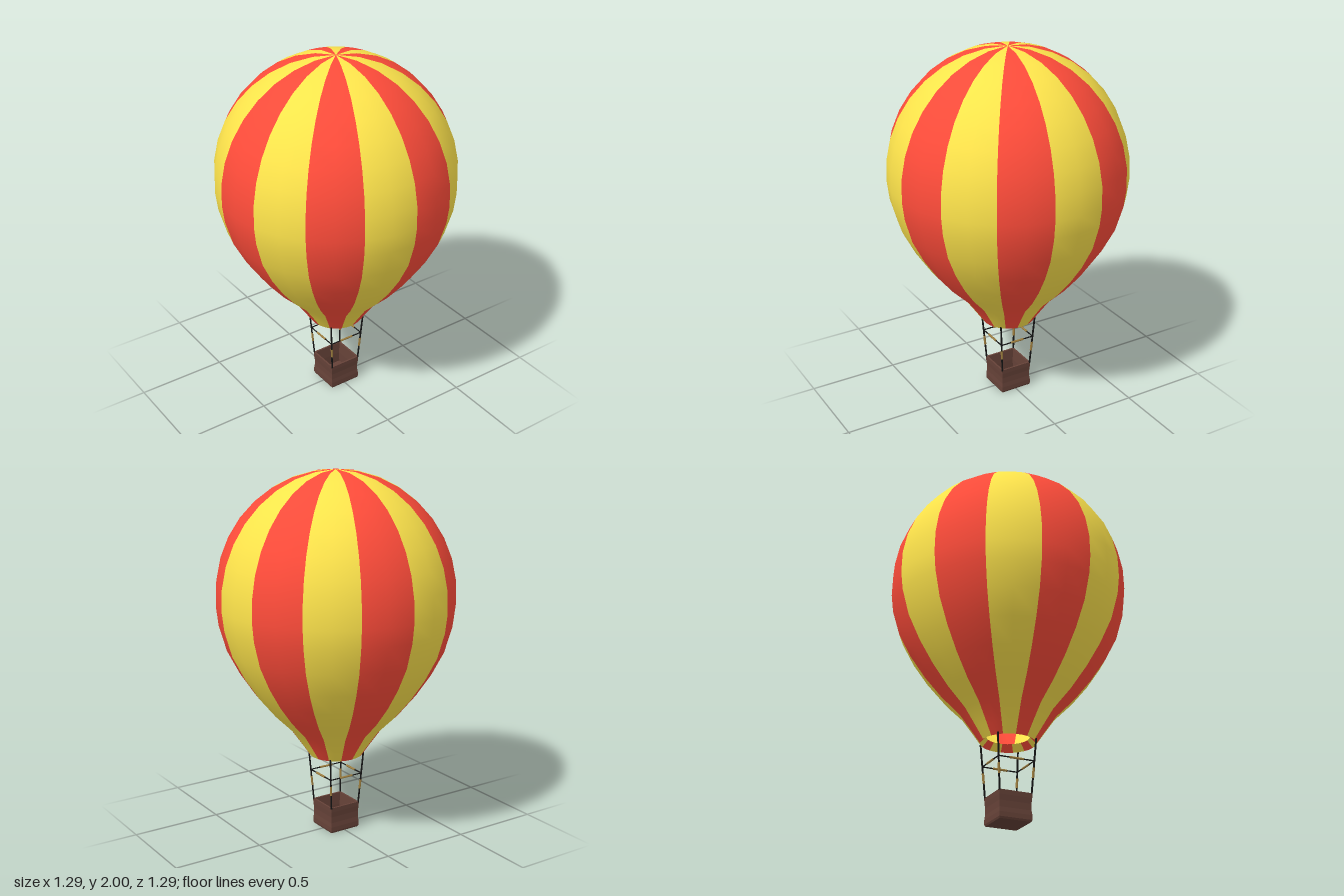
import * as THREE from 'three';
import { mergeGeometries } from 'three/addons/utils/BufferGeometryUtils.js';

const GORES = 14;
const GORE_ANGLE = (Math.PI * 2) / GORES;
const OFFSET = THREE.MathUtils.degToRad(-3.1);

const mat = (color, extra = {}) => new THREE.MeshStandardMaterial({ color, ...extra });
const points = (list) => list.map(([r, y]) => new THREE.Vector2(r, y));

// Envelope outline: tapered mouth and belly, then an elliptical dome
const envelopeProfile = points([
  [0.148, 0.435], [0.185, 0.49], [0.255, 0.59], [0.355, 0.69], [0.445, 0.8], [0.525, 0.92],
  [0.592, 1.05], [0.632, 1.19],
]);
const DOME_STEPS = 9;
for (let i = 0; i <= DOME_STEPS; i++) {
  const t = THREE.MathUtils.lerp(-0.06, Math.PI / 2, i / DOME_STEPS);
  envelopeProfile.push(new THREE.Vector2(Math.max(0, 0.645 * Math.cos(t)), 1.33 + 0.67 * Math.sin(t)));
}
// Lip folded inside the mouth
const lipProfile = points([[0.115, 0.472], [0.148, 0.435]]);

// Every second gore of a turned profile, merged into one geometry
function gores(profile, first) {
  const parts = [];
  for (let k = first; k < GORES; k += 2) {
    const start = Math.PI / 2 - (OFFSET + (k + 1) * GORE_ANGLE);
    parts.push(new THREE.LatheGeometry(profile, 2, start, GORE_ANGLE));
  }
  return mergeGeometries(parts);
}

// Thin round bar between two points
function bar(name, a, b, radius, material) {
  const dir = b.clone().sub(a);
  const mesh = new THREE.Mesh(new THREE.CylinderGeometry(radius, radius, dir.length(), 6), material);
  mesh.position.copy(a).add(b).multiplyScalar(0.5);
  mesh.quaternion.setFromUnitVectors(new THREE.Vector3(0, 1, 0), dir.normalize());
  mesh.name = name;
  return mesh;
}

export function createModel() {
  const model = new THREE.Group();
  model.name = 'hotAirBalloon';
  const add = (name, geometry, material, parent = model) => {
    const mesh = new THREE.Mesh(geometry, material);
    mesh.name = name;
    parent.add(mesh);
  };

  // Striped envelope
  const envelope = new THREE.Group();
  envelope.name = 'envelope';
  model.add(envelope);
  [['yellow', 0xffe54c], ['red', 0xff4c3a]].forEach(([name, color], i) => {
    const cloth = mat(color, { side: THREE.DoubleSide });
    add(name + 'Gores', gores(envelopeProfile, i), cloth, envelope);
    add(name + 'Lip', gores(lipProfile, i), cloth, envelope);
  });

  // Open square basket with slightly waisted walls
  const s = Math.SQRT2;
  const basketProfile = points([
    [0, 0], [0.088 * s, 0], [0.092 * s, 0.01], [0.092 * s, 0.035], [0.089 * s, 0.06],
    [0.089 * s, 0.095], [0.092 * s, 0.125], [0.093 * s, 0.15], [0.083 * s, 0.15],
    [0.08 * s, 0.08], [0.082 * s, 0.018], [0, 0.018],
  ]);
  add('basket', new THREE.LatheGeometry(basketProfile, 4, Math.PI / 4),
    mat(0x664238, { flatShading: true }));

  // Corner ropes with sleeves, joined by a square frame of padded bars
  const black = mat(0x151515);
  const tan = mat(0xa08040);
  const corners = [[1, 1], [1, -1], [-1, -1], [-1, 1]];
  const ropePoint = ([x, z], y) => {
    const h = THREE.MathUtils.mapLinear(y, 0.15, 0.44, 0.09, 0.109);
    return new THREE.Vector3(x * h, y, z * h);
  };
  corners.forEach((c, i) => {
    model.add(bar('rope', ropePoint(c, 0.145), ropePoint(c, 0.445), 0.005, black));
    model.add(bar('ropeSleeve', ropePoint(c, 0.23), ropePoint(c, 0.285), 0.0065, tan));
    const a = ropePoint(c, 0.322);
    const b = ropePoint(corners[(i + 1) % 4], 0.322);
    model.add(bar('frameBar', a, b, 0.0035, black));
    model.add(bar('frameGrip', a.clone().lerp(b, 0.3), a.clone().lerp(b, 0.7), 0.006, tan));
  });

  return model;
}
